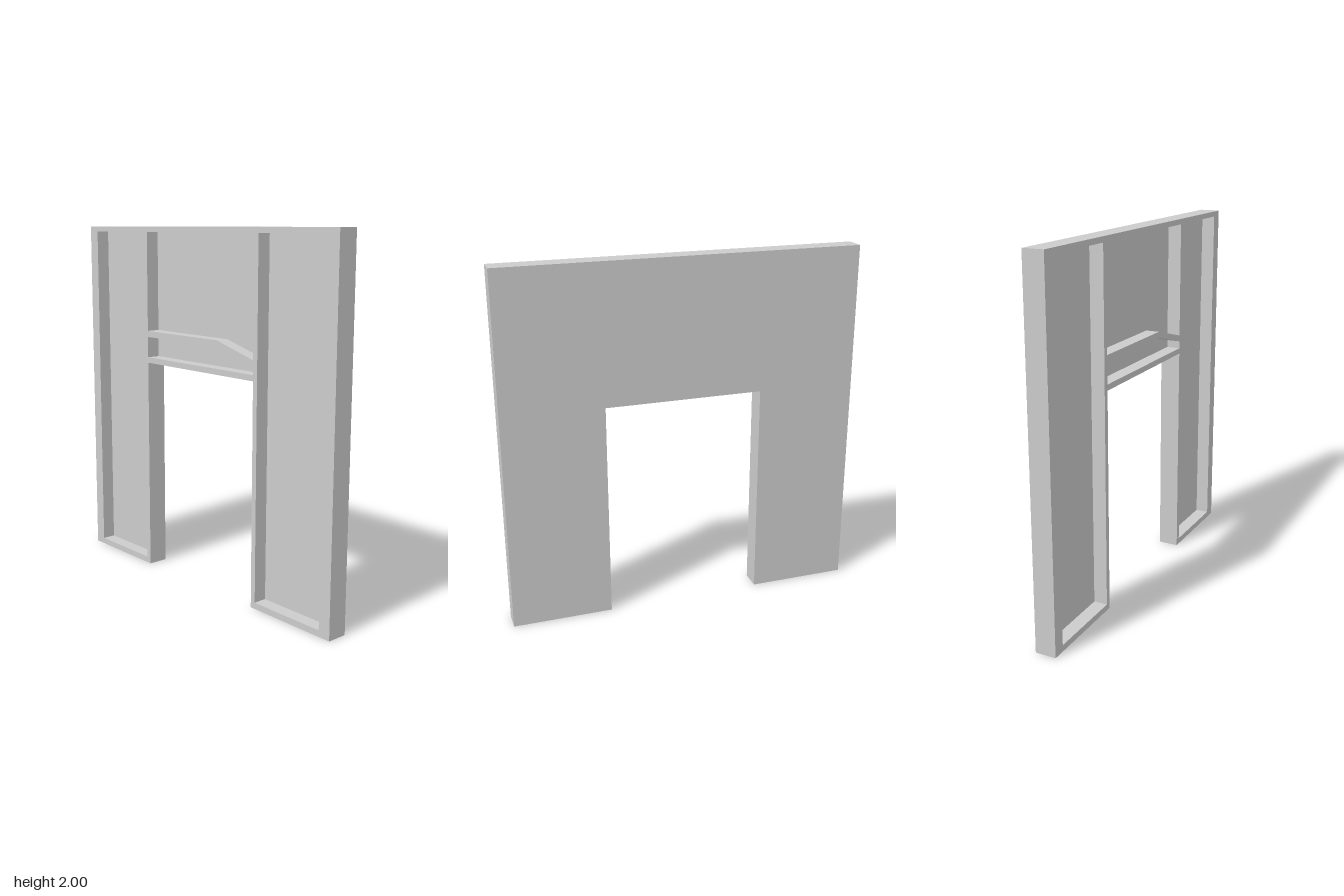
import * as THREE from 'three';

const HALF_DEPTH = 0.0575;  // half of the wall thickness
const BACK = 0.038;         // thickness of the back panel
const OPEN_X = 0.44;        // half width of the doorway
const OPEN_Y = 1.225;       // height of the doorway

const points = (list) => list.map(([x, y]) => new THREE.Vector2(x, y));

// Wall outline with the doorway cut out of the bottom
function wallShape() {
  return new THREE.Shape(points([
    [-1, 0], [-OPEN_X, 0], [-OPEN_X, OPEN_Y], [OPEN_X, OPEN_Y],
    [OPEN_X, 0], [1, 0], [1, 2], [-1, 2],
  ]));
}

function slab(name, shape, zBack, depth, material) {
  const geometry = new THREE.ExtrudeGeometry(shape, { depth, bevelEnabled: false });
  geometry.translate(0, 0, zBack);
  const mesh = new THREE.Mesh(geometry, material);
  mesh.name = name;
  return mesh;
}

export function createModel() {
  const group = new THREE.Group();
  group.name = 'doorwayWall';
  const material = new THREE.MeshStandardMaterial({ color: 0xcccccc });

  // Plain back panel
  group.add(slab('backPanel', wallShape(), -HALF_DEPTH, BACK, material));

  // Front frame: raised borders around the recessed panels
  const frame = wallShape();
  const recesses = [
    // upper centre panel with a sloped lower corner
    [[-OPEN_X, 1.41], [0.16, 1.41], [OPEN_X, 1.333], [OPEN_X, 1.97], [-OPEN_X, 1.97]],
    // narrow panel above the doorway
    [[-OPEN_X, 1.257], [OPEN_X, 1.257], [OPEN_X, 1.298], [0.16, 1.375], [-OPEN_X, 1.375]],
  ];
  // tall side panels, mirrored
  for (const s of [-1, 1]) {
    recesses.push([[s * 0.93, 0.035], [s * 0.47, 0.035], [s * 0.47, 1.97], [s * 0.93, 1.97]]);
  }
  for (const r of recesses) frame.holes.push(new THREE.Path(points(r)));
  group.add(slab('frontFrame', frame, -HALF_DEPTH + BACK, 2 * HALF_DEPTH - BACK, material));

  return group;
}
